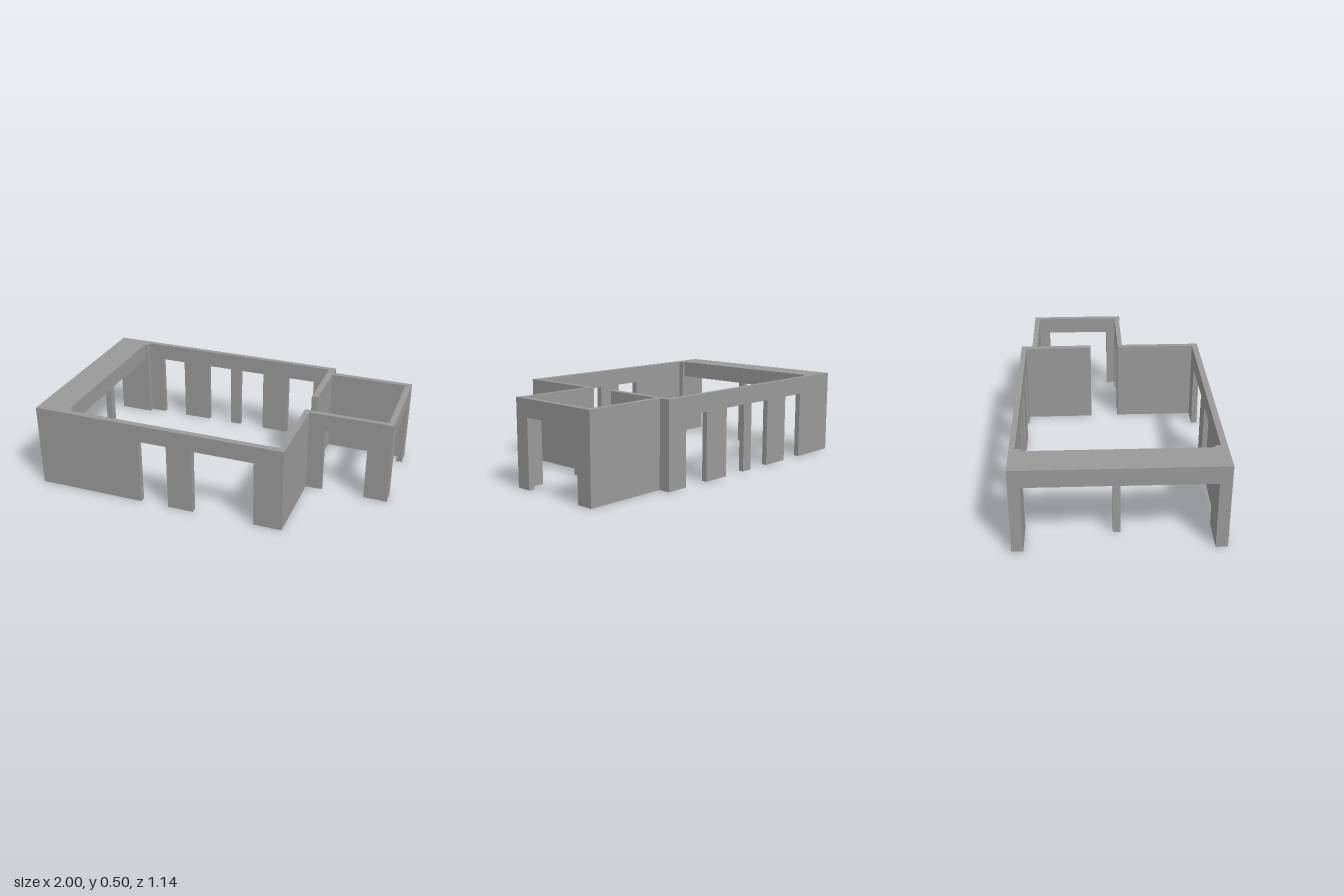
import * as THREE from 'three';

const HEIGHT = 0.5;   // wall height
const DOOR = 0.398;   // opening height

const material = new THREE.MeshStandardMaterial({ color: 0x999999, flatShading: true });

// Wall elevation from a to b, notched from the floor by each [start, end] opening
function wallShape(a, b, openings) {
  const shape = new THREE.Shape();
  shape.moveTo(a, 0);
  for (const [s, e] of openings) {
    shape.lineTo(s, 0);
    shape.lineTo(s, DOOR);
    shape.lineTo(e, DOOR);
    shape.lineTo(e, 0);
  }
  shape.lineTo(b, 0);
  shape.lineTo(b, HEIGHT);
  shape.lineTo(a, HEIGHT);
  return shape;
}

export function createModel() {
  const group = new THREE.Group();

  const add = (name, geometry) => {
    const mesh = new THREE.Mesh(geometry, material);
    mesh.name = name;
    group.add(mesh);
  };

  // Wall running along x, between z0 and z1
  const wallX = (name, x0, x1, z0, z1, openings = []) => {
    const g = new THREE.ExtrudeGeometry(wallShape(x0, x1, openings), { depth: z1 - z0, bevelEnabled: false });
    add(name, g.translate(0, 0, z0));
  };

  // Wall running along z, between x0 and x1
  const wallZ = (name, z0, z1, x0, x1, openings = []) => {
    const g = new THREE.ExtrudeGeometry(wallShape(z0, z1, openings), { depth: x1 - x0, bevelEnabled: false });
    add(name, g.rotateY(-Math.PI / 2).translate(x1, 0, 0));
  };

  const box = (name, x0, x1, y0, y1, z0, z1) => {
    const g = new THREE.BoxGeometry(x1 - x0, y1 - y0, z1 - z0);
    add(name, g.translate((x0 + x1) / 2, (y0 + y1) / 2, (z0 + z1) / 2));
  };

  // Main room
  wallX('frontWall', -1, 0.508, 0.535, 0.571, [[-0.35, -0.18], [-0.025, 0.34]]);
  wallX('backWall', -1, 0.505, -0.571, -0.54,
    [[-0.69, -0.535], [-0.355, -0.2], [-0.13, 0.028], [0.2, 0.37]]);
  wallZ('frontPartition', 0.05, 0.535, 0.475, 0.508);
  wallZ('backPartition', -0.54, -0.125, 0.467, 0.505);

  // Open end: broad lintel on two piers and a slim middle post
  box('frontPier', -1, -0.79, 0, HEIGHT, 0.505, 0.535);
  box('backPier', -1, -0.79, 0, HEIGHT, -0.54, -0.508);
  box('endLintel', -1, -0.81, DOOR, HEIGHT, -0.508, 0.505);
  box('middlePost', -0.85, -0.81, 0, DOOR, -0.032, 0.008);

  // Side annex
  wallX('annexFrontWall', 0.508, 0.965, 0.05, 0.08, [[0.605, 0.86]]);
  wallX('annexBackWall', 0.505, 0.965, -0.503, -0.47);
  wallZ('annexSideWall', -0.503, 0.084, 0.965, 1, [[-0.405, -0.007]]);

  return group;
}
